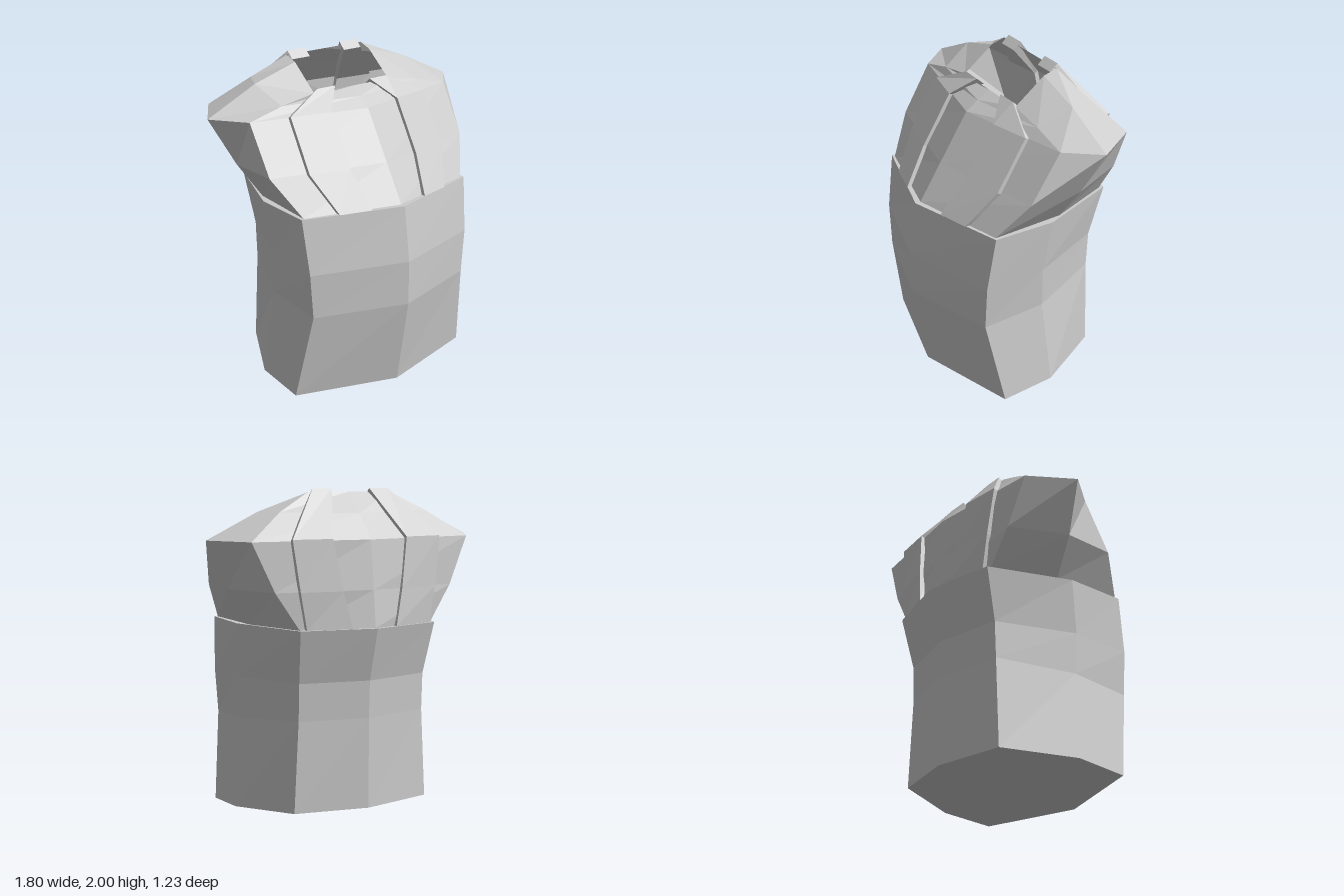
import * as THREE from 'three';

const material = new THREE.MeshStandardMaterial({
  color: 0xcccccc, flatShading: true, side: THREE.DoubleSide,
});

// Skins a stack of closed loops, with optional end caps (loops run counterclockwise from above)
function loft(name, loops, capStart, capEnd) {
  const pos = [];
  const tri = (...pts) => pts.forEach((p) => pos.push(...p));
  const n = loops[0].length;
  for (let i = 0; i < loops.length - 1; i++) {
    for (let j = 0; j < n; j++) {
      const k = (j + 1) % n;
      const [a, b, c, d] = [loops[i][j], loops[i][k], loops[i + 1][k], loops[i + 1][j]];
      tri(a, b, c);
      tri(a, c, d);
    }
  }
  const last = loops[loops.length - 1];
  for (let j = 1; j < n - 1; j++) {
    if (capStart) tri(loops[0][0], loops[0][j + 1], loops[0][j]);
    if (capEnd) tri(last[0], last[j], last[j + 1]);
  }
  const geometry = new THREE.BufferGeometry();
  geometry.setAttribute('position', new THREE.Float32BufferAttribute(pos, 3));
  geometry.computeVertexNormals();
  const mesh = new THREE.Mesh(geometry, material);
  mesh.name = name;
  return mesh;
}

// Half outline (front centre, front corner, side, back corner, back centre) to a full eight-point ring
function ring(half) {
  const mirrored = half.slice(1, -1).reverse().map(([x, y, z]) => [-x, y, z]);
  return [...half, ...mirrored];
}

// Raised strap: stations are [inner x, outer x, y, inner z, outer z]; facing is +1 front, -1 back
function strap(name, stations, side, facing) {
  const loops = stations.map(([xi, xo, y, zi, zo], i) => {
    const drop = i === 0 ? 0 : i === stations.length - 1 ? 0.045 : 0.02;
    const depth = 0.05 * facing;
    const loop = [
      [side * xi, y, zi], [side * xo, y, zo],
      [side * xo, y - drop, zo - depth], [side * xi, y - drop, zi - depth],
    ];
    return side * facing > 0 ? loop : loop.reverse();
  });
  return loft(name, loops, true, true);
}

export function createModel() {
  const group = new THREE.Group();
  group.name = 'torso';

  const chestBase = [[0, 1.185, 0.535], [0.6, 1.185, 0.38], [0.59, 1.185, -0.08], [0.45, 1.185, -0.48], [0, 1.185, -0.585]];

  // Waist, closed below and ending in a narrow flat lip
  group.add(loft('waist', [
    [[0, 0, 0.52], [0.65, 0.01, 0.34], [0.66, 0.04, 0], [0.46, 0.07, -0.42], [0, 0.07, -0.51]],
    [[0, 0.56, 0.62], [0.58, 0.56, 0.44], [0.6, 0.59, 0.04], [0.43, 0.63, -0.42], [0, 0.63, -0.51]],
    [[0, 0.84, 0.62], [0.6, 0.84, 0.44], [0.61, 0.85, 0.045], [0.43, 0.86, -0.43], [0, 0.86, -0.52]],
    [[0, 1.185, 0.57], [0.62, 1.185, 0.39], [0.635, 1.185, 0], [0.46, 1.185, -0.51], [0, 1.185, -0.61]],
    chestBase,
  ].map(ring), true, false));

  // Chest and shoulders, open at the neck
  group.add(loft('chest', [
    chestBase,
    [[0, 1.41, 0.39], [0.725, 1.41, 0.22], [0.745, 1.41, -0.11], [0.6, 1.41, -0.465], [0, 1.41, -0.56]],
    [[0, 1.705, 0.2], [0.735, 1.705, 0.035], [0.9, 1.705, -0.165], [0.735, 1.705, -0.44], [0, 1.705, -0.525]],
    [[0, 1.76, 0.12], [0.51, 1.765, 0.035], [0.57, 1.865, -0.165], [0.5, 1.865, -0.32], [0, 1.855, -0.39]],
    [[0, 1.805, 0.035], [0.28, 1.805, 0.035], [0.28, 1.955, -0.165], [0.28, 1.98, -0.255], [0, 1.98, -0.255]],
  ].map(ring), false, false));

  // Four raised straps running from the lip up to the neck
  const front = [
    [0.2, 0.4, 1.187, 0.513, 0.464],
    [0.25, 0.5, 1.41, 0.361, 0.303],
    [0.25, 0.5, 1.715, 0.168, 0.112],
    [0.13, 0.26, 1.83, 0.042, 0.04],
  ];
  const back = [
    [0.15, 0.42, 1.187, -0.578, -0.515],
    [0.2, 0.46, 1.41, -0.555, -0.514],
    [0.25, 0.5, 1.715, -0.52, -0.493],
    [0.13, 0.26, 2, -0.275, -0.275],
  ];
  for (const side of [1, -1]) {
    const label = side > 0 ? 'left' : 'right';
    group.add(strap(label + 'FrontStrap', front, side, 1));
    group.add(strap(label + 'BackStrap', back, side, -1));
  }
  return group;
}
